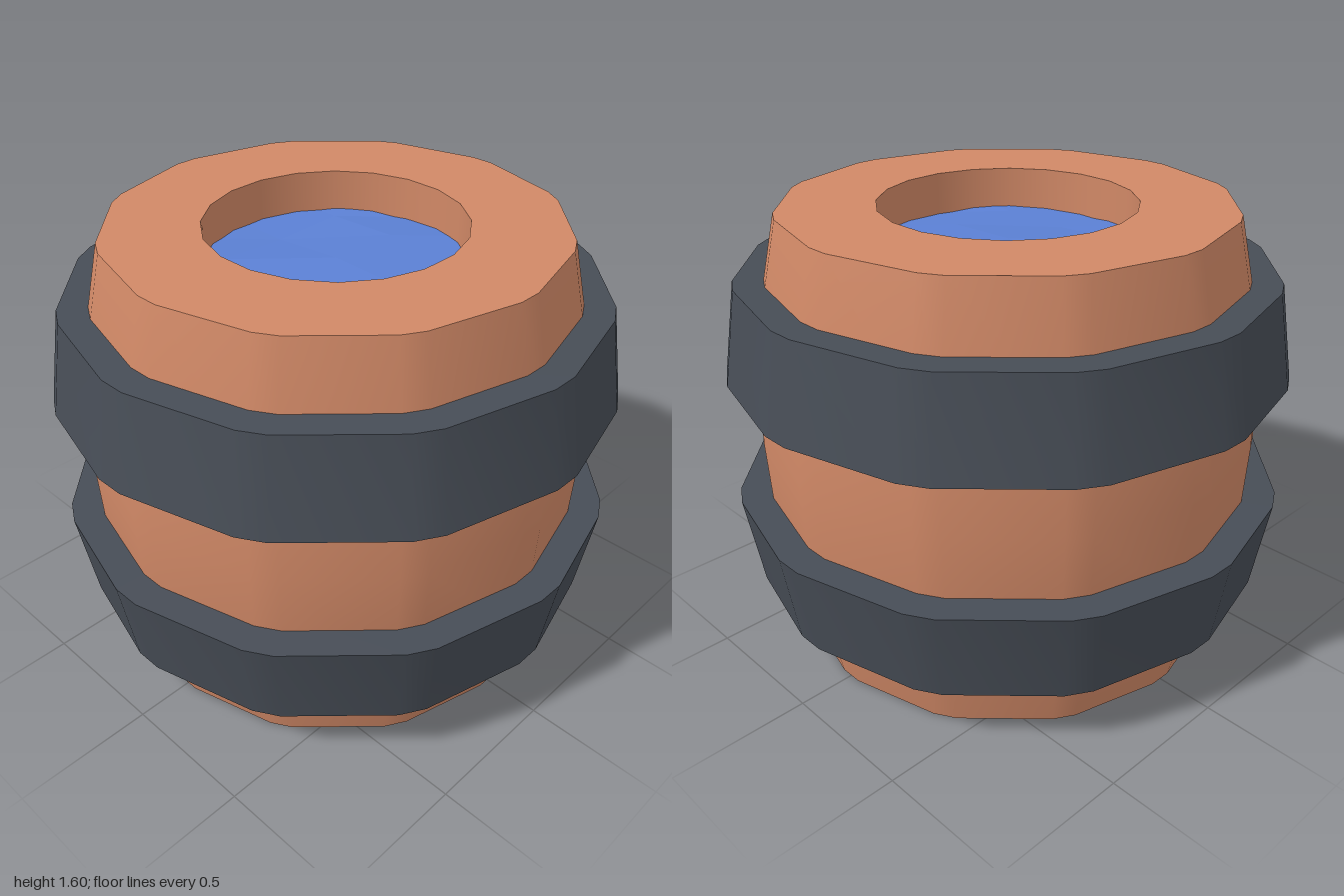
import * as THREE from 'three';
import { toCreasedNormals } from 'three/addons/utils/BufferGeometryUtils.js';

const SIDES = 12;
const BEVEL = THREE.MathUtils.degToRad(3);

// Angle of the k-th outline point: a 12-gon whose corners are cut off
const outlineAngle = (k) => Math.floor(k / 2) * (2 * Math.PI / SIDES) + (k % 2 ? BEVEL : -BEVEL);

// Revolves [radius, y] points around the bevelled 12-gon outline
function staveLathe(points) {
  const geo = new THREE.LatheGeometry(points.map(([r, y]) => new THREE.Vector2(r, y)), SIDES * 2);
  const pos = geo.attributes.position;
  for (let i = 0; i < pos.count; i++) {
    const a = outlineAngle(Math.floor(i / points.length));
    const r = points[i % points.length][0];
    pos.setX(i, r * Math.sin(a));
    pos.setZ(i, r * Math.cos(a));
  }
  return toCreasedNormals(geo, 0.7);
}

export function createModel() {
  const wood = new THREE.MeshStandardMaterial({ color: 0xd08866 });
  wood.name = 'wood';
  const iron = new THREE.MeshStandardMaterial({ color: 0x474d56 });
  iron.name = 'iron';
  const blue = new THREE.MeshStandardMaterial({ color: 0x5b80d4 });
  blue.name = 'water';

  const model = new THREE.Group();
  model.name = 'barrel';
  const add = (name, geo, mat) => {
    const mesh = new THREE.Mesh(geo, mat);
    mesh.name = name;
    model.add(mesh);
    return mesh;
  };

  // Bulging body with a closed bottom
  add('body', staveLathe([[0, 0], [0.79, 0], [0.88, 0.4], [0.9, 0.8], [0.88, 1.2], [0.79, 1.6]]), wood);

  // Lid with a round opening
  const holeR = 0.452, holeSides = 20, holeStart = Math.PI / holeSides;
  const lid = new THREE.Shape();
  for (let k = 0; k < SIDES * 2; k++) {
    const a = outlineAngle(k);
    lid[k ? 'lineTo' : 'moveTo'](0.79 * Math.cos(a), 0.79 * Math.sin(a));
  }
  const opening = new THREE.Path();
  for (let k = 0; k < holeSides; k++) {
    const a = holeStart + k * 2 * Math.PI / holeSides;
    opening[k ? 'lineTo' : 'moveTo'](holeR * Math.cos(a), holeR * Math.sin(a));
  }
  lid.holes.push(opening);
  add('lid', new THREE.ShapeGeometry(lid).rotateX(-Math.PI / 2).translate(0, 1.6, 0), wood);

  // Inner wall of the opening, facing inwards
  const wall = [new THREE.Vector2(holeR, 1.6), new THREE.Vector2(holeR, 1.36)];
  add('openingWall', new THREE.LatheGeometry(wall, holeSides, holeStart), wood);

  // Gently rippled, faceted water; its corners are hidden inside the body
  let water = new THREE.PlaneGeometry(1.1, 1.1, 4, 4).rotateX(-Math.PI / 2);
  const p = water.attributes.position;
  for (let i = 0; i < p.count; i++) {
    p.setY(i, 1.455 + 0.015 * Math.sin(p.getX(i) * 7 + 1) * Math.cos(p.getZ(i) * 6 + 0.5));
  }
  water = water.toNonIndexed();
  water.computeVertexNormals();
  add('water', water, blue);

  // Flared hoops, mirrored about the middle
  const hoop = (name, wideY, narrowY) => {
    const inner = 0.82;
    const ring = wideY < narrowY
      ? [[inner, wideY], [1, wideY], [0.945, narrowY], [inner, narrowY]]
      : [[inner, narrowY], [0.945, narrowY], [1, wideY], [inner, wideY]];
    add(name, staveLathe(ring), iron);
  };
  hoop('upperHoop', 1.035, 1.375);
  hoop('lowerHoop', 0.575, 0.235);

  return model;
}
